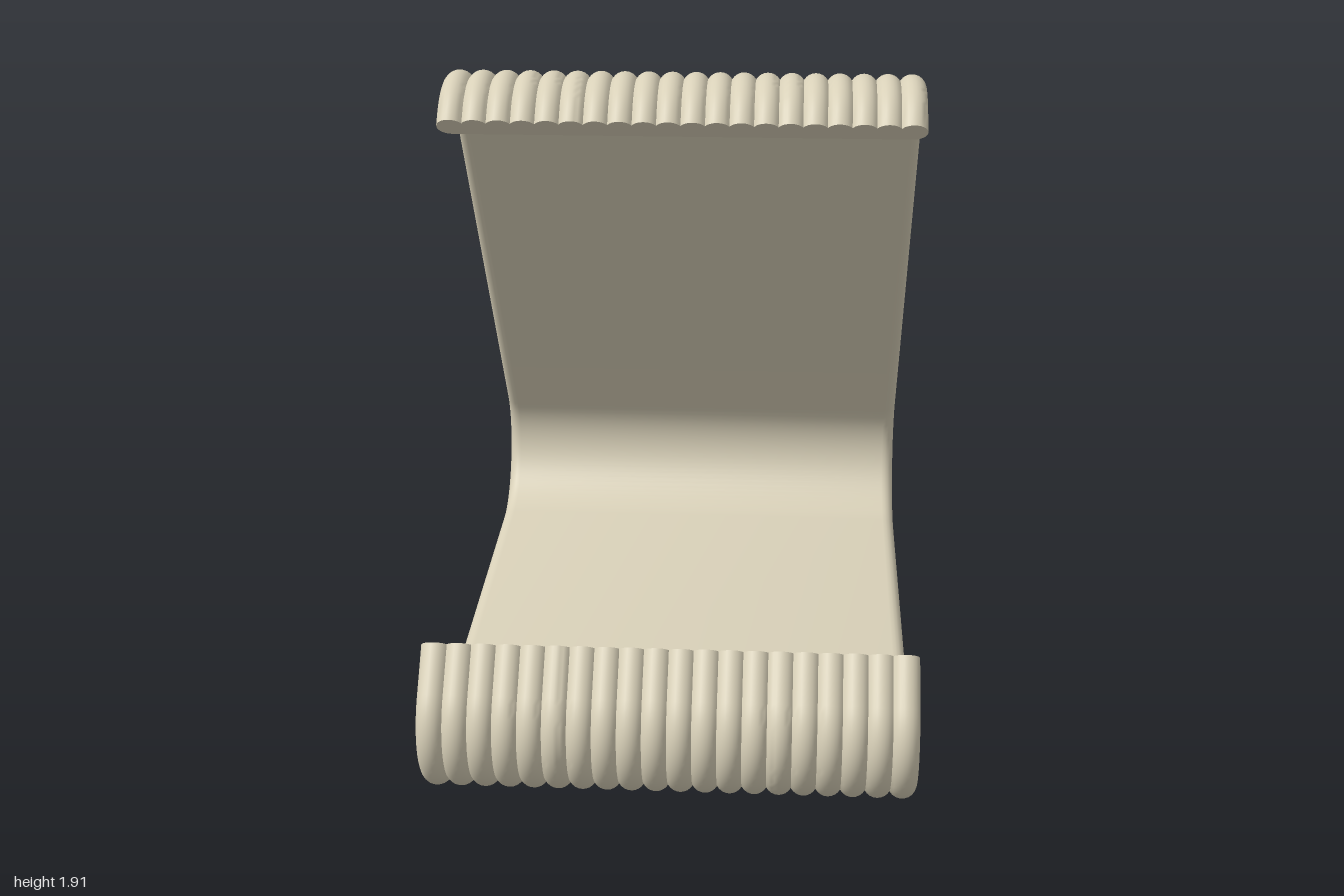
import * as THREE from 'three';
import { toCreasedNormals } from 'three/addons/utils/BufferGeometryUtils.js';

const RIBS = 20, R = 0.04, HALF = 0.655;
const rad = THREE.MathUtils.degToRad;

// Cross-section: flat inner face, row of round ribs on the outer face
function ribSection() {
  const pts = [];
  const pitch = (2 * HALF) / (RIBS - 1);
  const h = Math.asin(pitch / 2 / R);
  for (let i = RIBS - 1; i >= 0; i--) {
    const first = i === RIBS - 1, last = i === 0;
    const a0 = first ? -Math.PI / 2 : Math.PI / 2 - h;
    const a1 = last ? 1.5 * Math.PI : Math.PI / 2 + h;
    const n = first || last ? 14 : 8;
    for (let k = first ? 0 : 1; k <= n; k++) {
      const a = a0 + ((a1 - a0) * k) / n;
      pts.push(new THREE.Vector2(-HALF + i * pitch + R * Math.cos(a), R * Math.sin(a)));
    }
  }
  return pts;
}

// Side path: bends joined by straight runs, each station = centreline point and outward angle
function sidePath() {
  const bends = [
    { z: 0.79, y: 0.21, r: 0.17, from: 40, to: -93.6 },      // front lip
    { z: -0.70, y: 0.395, r: 0.26, from: -93.6, to: -215.1 }, // rear bend
    { z: 0.11, y: 1.703, r: 0.172, from: -215.1, to: -318 },  // top hook
  ];
  const path = [{ z: 0.826, y: 0.432, a: rad(40) }];
  for (const b of bends) {
    const n = 24;
    for (let k = 0; k <= n; k++) {
      const a = rad(b.from + ((b.to - b.from) * k) / n);
      path.push({ z: b.z + b.r * Math.cos(a), y: b.y + b.r * Math.sin(a), a });
    }
  }
  path.push({ z: 0.267, y: 1.784, a: rad(-318) });
  return path;
}

// Sweep the section along the path and close both ends
function sweep(section, path) {
  const pos = [], idx = [], n = section.length;
  for (const s of path)
    for (const p of section)
      pos.push(p.x, s.y + p.y * Math.sin(s.a), s.z + p.y * Math.cos(s.a));
  for (let j = 0; j < path.length - 1; j++)
    for (let i = 0; i < n; i++) {
      const a = j * n + i, b = j * n + ((i + 1) % n);
      idx.push(a, b, b + n, a, b + n, a + n);
    }
  const end = (path.length - 1) * n;
  for (const [a, b, c] of THREE.ShapeUtils.triangulateShape(section, [])) {
    idx.push(a, c, b);
    idx.push(end + a, end + b, end + c);
  }
  const geo = new THREE.BufferGeometry();
  geo.setAttribute('position', new THREE.Float32BufferAttribute(pos, 3));
  geo.setIndex(idx);
  return toCreasedNormals(geo, rad(35));
}

export function createModel() {
  const group = new THREE.Group();
  group.name = 'ribbedStand';
  const material = new THREE.MeshStandardMaterial({ color: 0xd8d0b8 });
  const band = new THREE.Mesh(sweep(ribSection(), sidePath()), material);
  band.name = 'ribbedBand';
  group.add(band);
  return group;
}
